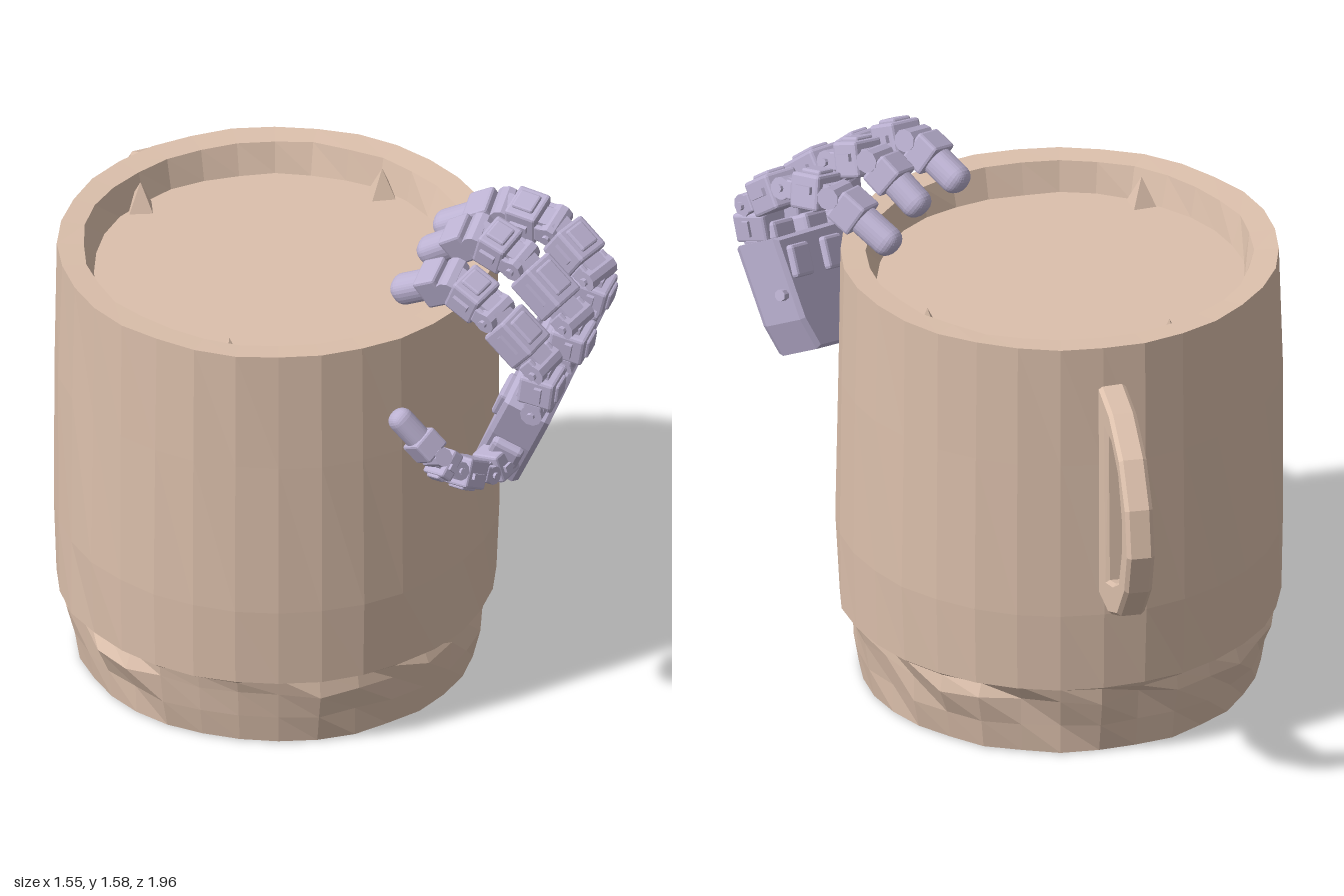
import * as THREE from 'three';
import { RoundedBoxGeometry } from 'three/addons/geometries/RoundedBoxGeometry.js';

const clay = new THREE.MeshStandardMaterial({ color: 0xdcc0ac, flatShading: true });
const metal = new THREE.MeshStandardMaterial({ color: 0xbcb2d2, flatShading: true });
const V = (x, y, z) => new THREE.Vector3(x, y, z);

// repeatable value in -1..1 for a pair of indices
const noise = (i, j) => {
  const s = Math.sin(i * 127.1 + j * 311.7) * 43758.5453;
  return (s - Math.floor(s)) * 2 - 1;
};

function add(parent, name, geometry, material, x = 0, y = 0, z = 0) {
  const mesh = new THREE.Mesh(geometry, material);
  mesh.name = name;
  mesh.position.set(x, y, z);
  parent.add(mesh);
  return mesh;
}

// Faceted cup with a narrower crumpled foot and a filled top
function cupBody() {
  // radius, height, radial roughness
  const rows = [
    [0, 0.005, 0], [0.592, 0.008, 0.006], [0.607, 0.1, 0.012], [0.622, 0.19, 0.022], [0.625, 0.238, 0.02],
    [0.657, 0.25, 0.005], [0.664, 0.5, 0.003], [0.659, 1.0, 0.003], [0.653, 1.385, 0.004],
    [0.577, 1.38, 0.006], [0.55, 1.285, 0.008], [0, 1.285, 0],
  ];
  const seg = 32;
  const g = new THREE.LatheGeometry(rows.map(r => new THREE.Vector2(r[0], r[1])), seg);
  const p = g.attributes.position;
  for (let i = 0; i <= seg; i++) {
    for (let j = 0; j < rows.length; j++) {
      const k = i * rows.length + j, [r, , rough] = rows[j];
      if (!r) continue;
      const f = 1 + rough * noise(i % seg, j) / r;
      const lift = j === 3 || j === 4 ? 0.012 * noise(i % seg, j + 20) : 0;
      p.setXYZ(k, p.getX(k) * f, p.getY(k) + lift, p.getZ(k) * f);
    }
  }
  return g;
}

// D-shaped thin handle, drawn as (distance behind centre, height)
function handleGeometry() {
  const outer = [[0.55, 0.575], [0.71, 0.58], [0.84, 0.64], [0.95, 0.77], [0.99, 0.9], [0.96, 1.04],
    [0.87, 1.16], [0.72, 1.235], [0.55, 1.25]];
  const inner = [[0.67, 0.655], [0.78, 0.695], [0.87, 0.75], [0.92, 0.89], [0.92, 0.98], [0.86, 1.115],
    [0.76, 1.175], [0.65, 1.17]];
  const toV = a => a.map(q => new THREE.Vector2(q[0], q[1]));
  const shape = new THREE.Shape(toV(outer));
  shape.holes.push(new THREE.Path(toV(inner)));
  return new THREE.ExtrudeGeometry(shape, { depth: 0.06, bevelThickness: 0.012, bevelSize: 0.01, bevelSegments: 1 });
}

// Group at point a, y towards b, x along the hinge axis, z out of the back of the finger
function linkFrame(a, b, axis) {
  const y = b.clone().sub(a).normalize();
  const x = axis.clone().addScaledVector(y, -axis.dot(y)).normalize();
  const g = new THREE.Group();
  g.quaternion.setFromRotationMatrix(new THREE.Matrix4().makeBasis(x, y, x.clone().cross(y)));
  g.position.copy(a);
  return g;
}

// One finger: hinged blocks along a path, ending in a rounded tip
function finger(name, path, axis, w) {
  const group = new THREE.Group();
  group.name = name;
  for (let i = 0; i < path.length - 1; i++) {
    const L = path[i].distanceTo(path[i + 1]);
    const link = linkFrame(path[i], path[i + 1], axis);
    link.name = 'link';
    group.add(link);
    // hinge
    const pin = add(link, 'hingePin', new THREE.CylinderGeometry(w * 0.3, w * 0.3, w * 1.0, 10), metal);
    pin.rotation.z = Math.PI / 2;
    if (i === path.length - 2) {
      add(link, 'tipCollar', new RoundedBoxGeometry(w * 0.95, L * 0.4, w * 0.9, 1, w * 0.08), metal, 0, L * 0.3, 0);
      add(link, 'fingerTip', new RoundedBoxGeometry(w * 0.8, L * 0.85, w * 0.78, 3, w * 0.34), metal, 0, L * 0.67, 0);
      continue;
    }
    // core, shell and back plate
    add(link, 'core', new THREE.BoxGeometry(w * 0.6, L, w * 0.55), metal, 0, L / 2, 0);
    add(link, 'shell', new RoundedBoxGeometry(w * 1.02, L * 0.62, w * 0.95, 1, w * 0.08), metal, 0, L * 0.54, w * 0.03);
    add(link, 'backPlate', new RoundedBoxGeometry(w * 0.62, L * 0.42, w * 0.2, 1, w * 0.06), metal, 0, L * 0.56, w * 0.5);
    for (const s of [-1, 1]) {
      add(link, 'hingeCheek', new RoundedBoxGeometry(w * 0.16, w * 0.55, w * 0.5, 1, w * 0.04), metal, s * w * 0.42, w * 0.1, 0);
      add(link, 'sideRail', new THREE.BoxGeometry(w * 0.14, L * 0.34, w * 0.2), metal, s * w * 0.55, L * 0.55, w * 0.1);
      const bolt = add(link, 'bolt', new THREE.CylinderGeometry(w * 0.11, w * 0.11, w * 0.14, 8), metal, s * w * 0.53, 0, 0);
      bolt.rotation.z = Math.PI / 2;
    }
  }
  return group;
}

function palm(U, Vd, N) {
  const group = new THREE.Group();
  group.name = 'palm';
  group.quaternion.setFromRotationMatrix(new THREE.Matrix4().makeBasis(U, Vd, N));
  group.position.set(0.364, 0.8, 0.747);
  // flat wedge-shaped slab
  const outline = [[0.01, 0.01], [0.42, 0.01], [0.47, 0.1], [0.52, 0.34], [-0.02, 0.35], [-0.015, 0.2]];
  const slab = new THREE.Shape(outline.map(q => new THREE.Vector2(q[0], q[1])));
  add(group, 'palmSlab', new THREE.ExtrudeGeometry(slab,
    { depth: 0.12, bevelThickness: 0.015, bevelSize: 0.01, bevelSegments: 1 }), metal, 0, 0, -0.135);
  // knuckle sockets, spacers and inner pads
  for (let i = 0; i < 3; i++) {
    const a = 0.07 + i * 0.185;
    add(group, 'knuckleSocket', new RoundedBoxGeometry(0.12, 0.06, 0.12, 1, 0.012), metal, a, 0.37, -0.07);
    add(group, 'innerPad', new RoundedBoxGeometry(0.1, 0.1, 0.03, 1, 0.01), metal, a, 0.27, -0.155);
    if (i < 2) add(group, 'spacer', new RoundedBoxGeometry(0.04, 0.05, 0.07, 1, 0.01), metal, a + 0.092, 0.365, -0.06);
  }
  add(group, 'thumbMount', new RoundedBoxGeometry(0.08, 0.13, 0.1, 1, 0.015), metal, -0.01, 0.13, -0.075);
  const stud = add(group, 'sideStud', new THREE.CylinderGeometry(0.018, 0.018, 0.03, 8), metal, 0.505, 0.18, -0.11);
  stud.rotation.z = Math.PI / 2;
  return group;
}

export function createModel() {
  const model = new THREE.Group();

  // Mug
  const mug = new THREE.Group();
  mug.name = 'mug';
  model.add(mug);
  add(mug, 'cup', cupBody(), clay, -0.127, 0, 0.085);
  add(mug, 'mugHandle', handleGeometry(), clay, -0.184, 0, 0).rotation.y = Math.PI / 2;
  // chips on the inner wall
  for (const [x, z] of [[0.33, -0.19], [-0.36, -0.4], [-0.46, 0.51]]) {
    const chip = add(mug, 'innerChip', new THREE.ConeGeometry(0.055, 0.1, 4), clay, x, 1.325, z);
    chip.rotation.y = Math.atan2(x + 0.127, z - 0.085);
  }

  // Mechanical hand gripping the rim
  const hand = new THREE.Group();
  hand.name = 'hand';
  model.add(hand);
  const U = V(0.67, 0.27, -0.69).normalize();
  const N = V(0.73, -0.4, 0.55);
  N.addScaledVector(U, -N.dot(U)).normalize();
  hand.add(palm(U, N.clone().cross(U), N));

  hand.add(finger('innerFinger', [V(0.38, 1.14, 0.87), V(0.39, 1.29, 0.89), V(0.285, 1.43, 0.77),
    V(0.2, 1.5, 0.65), V(0.09, 1.41, 0.51)], U, 0.115));
  hand.add(finger('middleFinger', [V(0.54, 1.18, 0.72), V(0.55, 1.33, 0.75), V(0.44, 1.48, 0.6),
    V(0.35, 1.53, 0.49), V(0.24, 1.42, 0.36)], U, 0.115));
  hand.add(finger('outerFinger', [V(0.67, 1.23, 0.56), V(0.69, 1.37, 0.59), V(0.61, 1.48, 0.46),
    V(0.5, 1.5, 0.34), V(0.36, 1.39, 0.2)], U, 0.115));
  hand.add(finger('thumb', [V(0.35, 0.93, 0.74), V(0.23, 0.91, 0.81), V(0.11, 0.98, 0.86),
    V(0.06, 1.03, 0.86), V(-0.04, 1.165, 0.8)], V(0.3, 0.2, 0.9), 0.095));
  return model;
}
